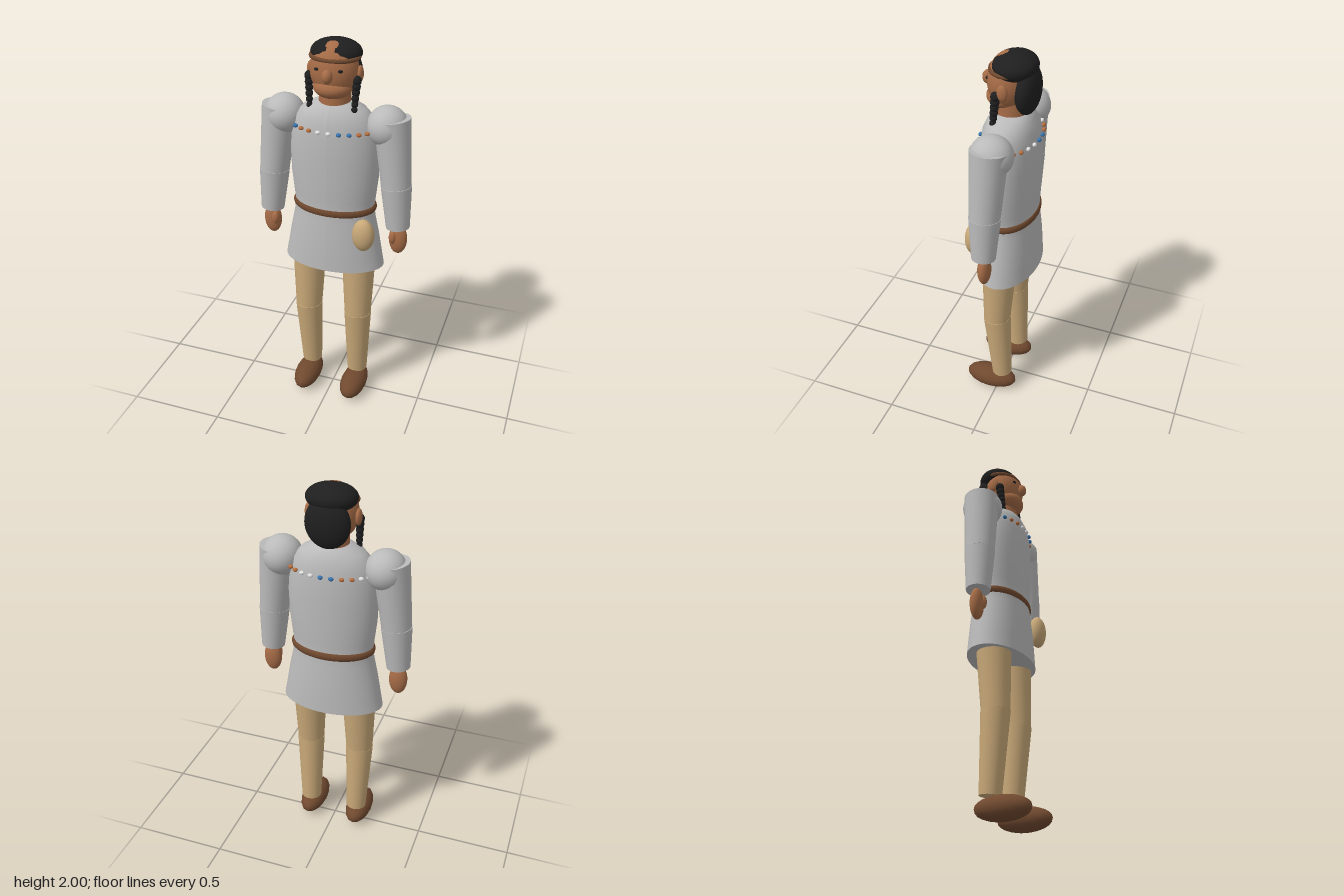
import * as THREE from 'three';

const mat = (name, color) => {
  const m = new THREE.MeshStandardMaterial({ color });
  m.name = name;
  return m;
};

export function createModel() {
  const root = new THREE.Group();
  root.name = 'figure';
  const tunic = mat('tunic grey', 0xbababa);
  const skin = mat('skin', 0xa66c47);
  const buckskin = mat('buckskin', 0xc8a878);
  const leather = mat('leather', 0x70492f);
  const hair = mat('hair black', 0x1f1f1f);
  const blue = mat('bead blue', 0x3a76b0);
  const copper = mat('bead copper', 0xb87040);
  const white = mat('bead white', 0xe2e2e2);

  const add = (name, geo, material, pos = [0, 0, 0], scale = [1, 1, 1]) => {
    const mesh = new THREE.Mesh(geo, material);
    mesh.name = name;
    mesh.position.set(...pos);
    mesh.scale.set(...scale);
    root.add(mesh);
    return mesh;
  };
  const ball = new THREE.SphereGeometry(1, 28, 20);
  const smallBall = new THREE.SphereGeometry(1, 12, 8);
  const blob = (name, material, pos, radii, geo = ball) => add(name, geo, material, pos, radii);

  // Tapered limb segment from top point a to bottom point b
  const limb = (name, material, a, b, ra, rb) => {
    const A = new THREE.Vector3(...a), B = new THREE.Vector3(...b);
    const dir = A.clone().sub(B);
    const mesh = add(name, new THREE.CylinderGeometry(ra, rb, dir.length(), 28), material);
    mesh.position.copy(A).add(B).multiplyScalar(0.5);
    mesh.quaternion.setFromUnitVectors(new THREE.Vector3(0, 1, 0), dir.normalize());
  };

  // Oval ring lying flat
  const ring = (name, material, y, z, rx, rz, tube, height) => {
    const geo = new THREE.TorusGeometry(1, tube, 10, 48).rotateX(Math.PI / 2);
    add(name, geo, material, [0, y, z], [rx, height / tube, rz]);
  };

  // Tunic body: oval cross-sections [y, half width, half depth]
  const sections = [
    [0.83, 0.265, 0.153], [0.9, 0.252, 0.151], [1.0, 0.234, 0.147], [1.1, 0.213, 0.138],
    [1.157, 0.205, 0.133], [1.22, 0.212, 0.136], [1.32, 0.223, 0.139], [1.45, 0.227, 0.14],
    [1.56, 0.217, 0.137], [1.63, 0.196, 0.127], [1.675, 0.155, 0.107], [1.7, 0.105, 0.088],
    [1.71, 0.075, 0.072],
  ];
  const ySpan = sections.map(([y, w]) => new THREE.Vector2(w, y));
  const body = new THREE.LatheGeometry(ySpan, 48);
  const p = body.attributes.position;
  for (let i = 0; i < p.count; i++) {
    const [, w, d] = sections[i % sections.length];
    p.setZ(i, (p.getZ(i) * d) / w);
  }
  body.computeVertexNormals();
  add('tunic', body, tunic, [0, 0, -0.027]);
  add('tunicUnderside', new THREE.CircleGeometry(1, 48).rotateX(Math.PI / 2), tunic,
    [0, 0.831, -0.027], [0.265, 1, 0.153]);
  ring('belt', leather, 1.157, -0.028, 0.2, 0.13, 0.09, 0.021);

  // Beads around the chest, in pairs of one colour
  const beadColours = [blue, copper, white];
  const beadCount = 27;
  for (let i = 0; i < beadCount; i++) {
    const a = 0.05 + ((i - 5) * Math.PI * 2) / beadCount;
    blob('bead', beadColours[Math.floor(i / 2) % 3],
      [0.222 * Math.sin(a), 1.587, -0.029 + 0.141 * Math.cos(a)], [0.013, 0.01, 0.01], smallBall);
  }

  // Arms, legs and side features, mirrored
  for (const s of [1, -1]) {
    blob('shoulder', tunic, [s * 0.26, 1.607, -0.028], [0.1, 0.1, 0.103]);
    limb('upperSleeve', tunic, [s * 0.282, 1.65, -0.025], [s * 0.319, 1.31, -0.014], 0.09, 0.075);
    blob('elbow', tunic, [s * 0.319, 1.31, -0.014], [0.074, 0.074, 0.074]);
    limb('lowerSleeve', tunic, [s * 0.319, 1.31, -0.014], [s * 0.337, 1.083, -0.011], 0.077, 0.06);
    blob('hand', skin, [s * 0.34, 1.01, -0.015], [0.047, 0.083, 0.032]);
    blob('thumb', skin, [s * 0.317, 1.025, 0.006], [0.02, 0.037, 0.02]);

    limb('thigh', buckskin, [s * 0.135, 0.9, -0.015], [s * 0.139, 0.525, 0], 0.09, 0.071);
    blob('knee', buckskin, [s * 0.139, 0.525, 0], [0.07, 0.07, 0.07]);
    limb('shin', buckskin, [s * 0.139, 0.53, 0], [s * 0.134, 0.122, -0.026], 0.073, 0.054);
    blob('shoe', leather, [s * 0.136, 0.062, 0.037], [0.07, 0.062, 0.143], new THREE.SphereGeometry(1, 16, 12));

    blob('ear', skin, [s * 0.122, 1.848, -0.026], [0.016, 0.04, 0.026]);
    blob('eye', hair, [s * 0.055, 1.882, 0.068], [0.015, 0.008, 0.009], smallBall);
    // Braid of overlapping knots
    for (let i = 0; i < 6; i++) {
      const t = i / 5, r = 0.024 - 0.007 * t;
      blob('braidKnot', hair, [s * (0.118 - 0.007 * t), 1.825 - 0.138 * t, 0.008 + 0.016 * t],
        [r * 0.9, r, r], smallBall);
    }
  }

  // Hip pouch
  blob('pouch', buckskin, [0.19, 1.065, 0.1], [0.057, 0.087, 0.043]);

  // Head
  add('neck', new THREE.CylinderGeometry(0.075, 0.08, 0.12, 28), skin, [0, 1.72, -0.025]);
  blob('head', skin, [0, 1.862, -0.015], [0.118, 0.135, 0.1]);
  blob('jaw', skin, [0, 1.785, 0.005], [0.096, 0.056, 0.086]);
  blob('nose', skin, [0, 1.857, 0.089], [0.026, 0.034, 0.027]);
  blob('hairTop', hair, [0, 1.936, -0.045], [0.124, 0.064, 0.105]);
  blob('hairBack', hair, [0, 1.83, -0.106], [0.11, 0.122, 0.058]);
  ring('headband', leather, 1.924, -0.025, 0.115, 0.095, 0.08, 0.01);
  return root;
}
